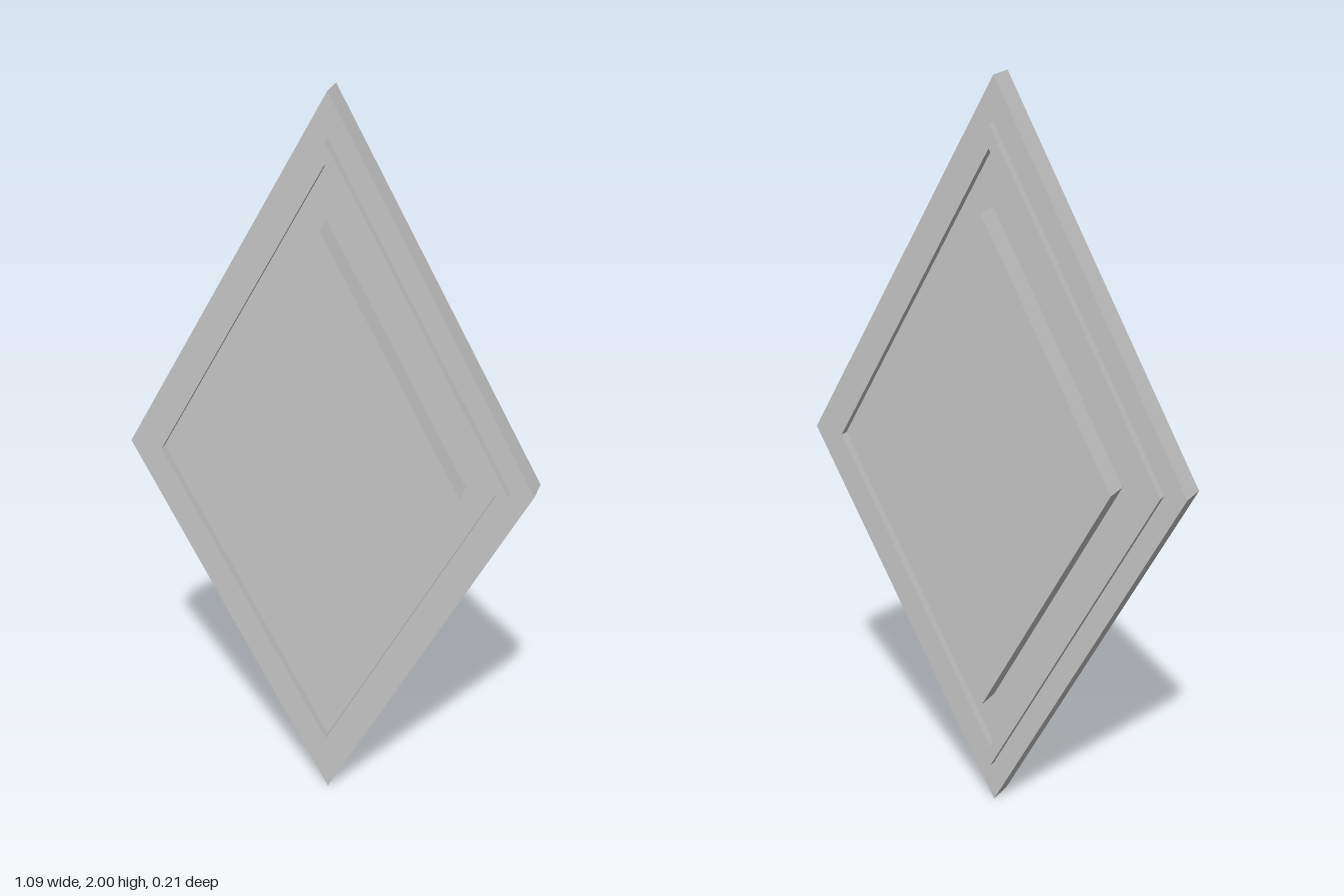
import * as THREE from 'three';

// Rhombus outline around the origin
function trace(path, w, h) {
  path.moveTo(w, 0);
  path.lineTo(0, h);
  path.lineTo(-w, 0);
  path.lineTo(0, -h);
  path.closePath();
  return path;
}

export function createModel() {
  const group = new THREE.Group();
  group.name = 'diamondPlaque';
  const grey = new THREE.MeshStandardMaterial({ color: 0xc4c4c4 });
  grey.name = 'grey';

  // Upright diamond plate from z0 to z1, optionally with a diamond opening
  function addPlate(name, w, h, z0, z1, hole) {
    const shape = trace(new THREE.Shape(), w, h);
    if (hole) shape.holes.push(trace(new THREE.Path(), hole[0], hole[1]));
    const geometry = new THREE.ExtrudeGeometry(shape, { depth: z1 - z0, bevelEnabled: false });
    const mesh = new THREE.Mesh(geometry, grey);
    mesh.name = name;
    mesh.position.set(0, 1, z0);
    group.add(mesh);
  }

  // Base slab
  addPlate('baseSlab', 0.544, 1, -0.036, 0.036);

  // Raised rim and centre panel on both faces
  for (const [side, s] of [['front', 1], ['back', -1]]) {
    const span = (top) => (s > 0 ? [0.036, top] : [-top, -0.036]);
    addPlate(side + 'Rim', 0.482, 0.885, ...span(0.06), [0.449, 0.825]);
    addPlate(side + 'Panel', 0.367, 0.675, ...span(0.103));
  }
  return group;
}
